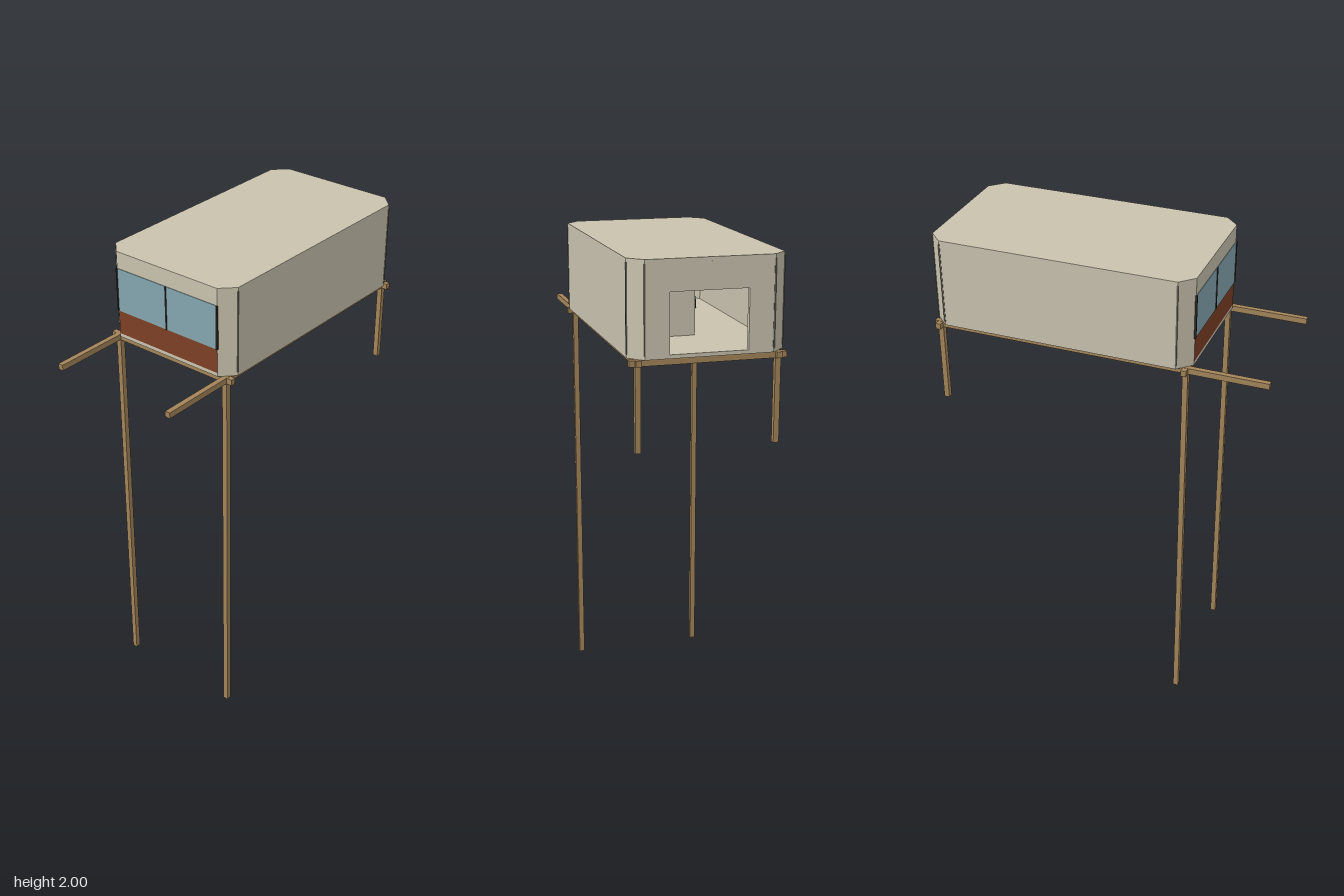
import * as THREE from 'three';

const flat = (name, color) => {
  const m = new THREE.MeshStandardMaterial({ color });
  m.name = name;
  return m;
};

export function createModel() {
  const plaster = flat('plaster', 0xc9c2ae);
  const timber = flat('timber', 0xa38459);
  const glass = flat('glass', 0x84a6b0);
  const redwood = flat('redwood', 0x7d3f25);
  const seamGrey = flat('seamGrey', 0x706b60);
  const dark = flat('darkFrame', 0x2b2723);

  const model = new THREE.Group();
  model.name = 'stiltCabin';

  const add = (name, geometry, material) => {
    const mesh = new THREE.Mesh(geometry, material);
    mesh.name = name;
    model.add(mesh);
    return mesh;
  };
  // Box given by its limits on each axis
  const box = (name, material, [x0, x1], [y0, y1], [z0, z1]) => {
    const mesh = add(name, new THREE.BoxGeometry(x1 - x0, y1 - y0, z1 - z0), material);
    mesh.position.set((x0 + x1) / 2, (y0 + y1) / 2, (z0 + z1) / 2);
    return mesh;
  };

  // Chamfered cabin plan, as [x, z]
  const X0 = -0.39, X1 = 0.69, Z = 0.303, C = 0.055;
  const zc = Z - C, FLOOR = 1.635, WALL0 = 1.65, WALL1 = 1.985, ROOF = 2, T = 0.02;
  const plan = [
    [X0 + C, Z], [X1 - C, Z], [X1, zc], [X1, -zc],
    [X1 - C, -Z], [X0 + C, -Z], [X0, -zc], [X0, zc],
  ];
  const slab = (name, y0, y1) => {
    const shape = new THREE.Shape(plan.map(([x, z]) => new THREE.Vector2(x, -z)));
    const geo = new THREE.ExtrudeGeometry(shape, { depth: y1 - y0, bevelEnabled: false });
    geo.rotateX(-Math.PI / 2).translate(0, y0, 0);
    add(name, geo, plaster);
  };
  slab('floorSlab', FLOOR, WALL0);
  slab('roofSlab', WALL1, ROOF);

  // Long walls and chamfered corner walls, set inward from the plan line
  const wall = (name, a, b) => {
    const dx = b[0] - a[0], dz = b[1] - a[1], len = Math.hypot(dx, dz);
    const mx = (a[0] + b[0]) / 2, mz = (a[1] + b[1]) / 2;
    const nx = dz / len, nz = -dx / len;
    const s = nx * (mx - 0.15) + nz * mz > 0 ? -T / 2 : T / 2;
    const mesh = add(name, new THREE.BoxGeometry(len, WALL1 - WALL0, T), plaster);
    mesh.position.set(mx + nx * s, (WALL0 + WALL1) / 2, mz + nz * s);
    mesh.rotation.y = Math.atan2(-dz, dx);
  };
  plan.forEach((p, i) => {
    if (i === 2 || i === 6) return; // the two ends are built separately
    wall(i % 4 === 0 ? 'longWall' : 'cornerWall', p, plan[(i + 1) % 8]);
  });

  // Entrance end with its doorway
  const ex = [X1 - T, X1];
  box('doorwayWall', plaster, ex, [WALL0, WALL1], [0.153, zc]);
  box('doorwayWall', plaster, ex, [WALL0, WALL1], [-zc, -0.15]);
  box('doorwayLintel', plaster, ex, [1.88, WALL1], [-0.15, 0.153]);

  // Window end: redwood parapet, two panes and a header
  const wx = [X0, X0 + 0.015];
  box('parapet', redwood, wx, [WALL0, 1.75], [-zc, zc]);
  box('windowHeader', plaster, wx, [1.93, WALL1], [-zc, zc]);
  for (const s of [-1, 1]) {
    const pane = box('windowPane', glass, [X0 - 0.002, X0 + 0.01], [1.75, 1.93], [0.002, zc - 0.003]);
    pane.position.z *= s;
    box('windowFrame', dark, [X0 - 0.005, X0 + 0.012], [1.75, 1.93], [s * zc - 0.003, s * zc + 0.003]);
  }
  box('windowMullion', dark, [X0 - 0.005, X0 + 0.012], [1.75, 1.93], [-0.003, 0.003]);

  // Thin joints beside the corner walls
  for (const s of [-1, 1]) {
    for (const x of [X0 + C, X1 - C]) {
      box('wallJoint', seamGrey, [x - 0.003, x + 0.003], [WALL0, WALL1], [s * Z - 0.002, s * Z + 0.002]);
    }
    box('endJoint', seamGrey, [X1 - 0.002, X1 + 0.002], [WALL0, WALL1], [s * zc - 0.003, s * zc + 0.003]);
  }

  // Interior partition and a small chair by the window
  box('partition', plaster, [0.37, 0.39], [WALL0, 1.862], [-0.035, Z - T]);
  box('chairSeat', glass, [-0.22, -0.12], [1.69, 1.7], [-0.2, -0.115]);
  box('chairBack', glass, [-0.23, -0.22], [1.69, 1.735], [-0.2, -0.115]);
  for (const x of [-0.22, -0.126]) {
    for (const z of [-0.2, -0.121]) box('chairLeg', dark, [x, x + 0.006], [WALL0, 1.69], [z, z + 0.006]);
  }

  // Timber frame: long beams, cross beams and stilts
  const H = 0.011, beamY = [1.611, FLOOR];
  for (const z of [-0.271, 0.271]) {
    box('longBeam', timber, [-0.697, 0.692], beamY, [z - H, z + H]);
    for (const [x, y] of [[-0.366, 0], [0.668, 1.28]]) {
      box(y ? 'shortStilt' : 'tallStilt', timber, [x - H, x + H], [y, 1.612], [z - H, z + H]);
    }
  }
  for (const x of [-0.366, 0.668]) {
    box('crossBeam', timber, [x - H, x + H], [1.61, FLOOR - 0.001], [-0.305, 0.305]);
  }
  return model;
}
